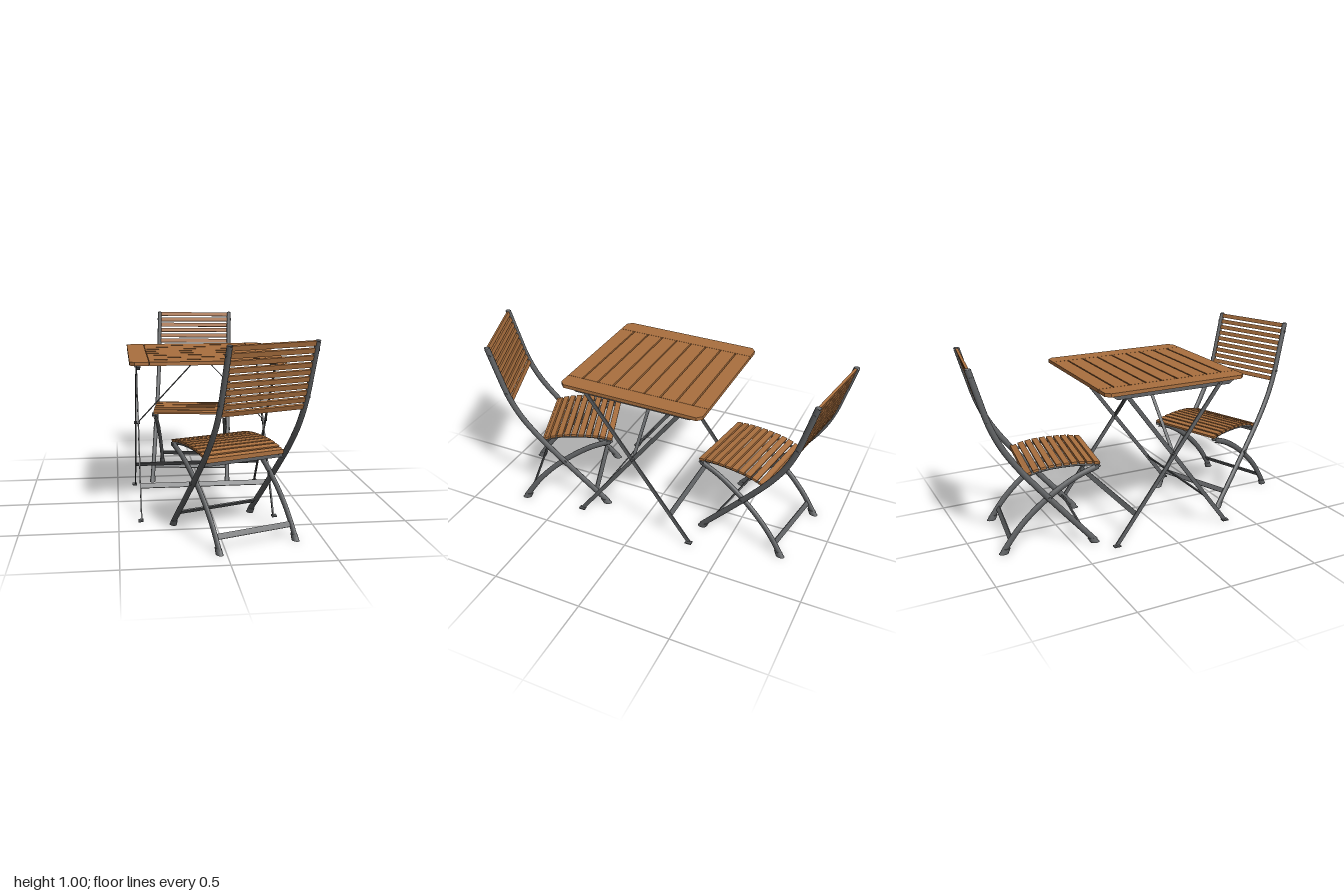
import * as THREE from 'three';

const wood = new THREE.MeshStandardMaterial({ color: 0xaa703f });
wood.name = 'oiledWood';
const metal = new THREE.MeshStandardMaterial({ color: 0x5f6163 });
metal.name = 'greyMetal';

const V = (x, y, z) => new THREE.Vector3(x, y, z);

function add(parent, name, geometry, material, x = 0, y = 0, z = 0) {
  const mesh = new THREE.Mesh(geometry, material);
  mesh.name = name;
  mesh.position.set(x, y, z);
  parent.add(mesh);
  return mesh;
}

const box = (parent, name, mat, w, h, d, x, y, z) =>
  add(parent, name, new THREE.BoxGeometry(w, h, d), mat, x, y, z);

// Flat bar between two points; "side" is the direction its first size runs in
function bar(parent, name, a, b, side, sideSize, otherSize) {
  const dir = b.clone().sub(a);
  const mesh = box(parent, name, metal, sideSize, otherSize, dir.length(), 0, 0, 0);
  dir.normalize();
  const up = dir.clone().cross(side);
  mesh.quaternion.setFromRotationMatrix(new THREE.Matrix4().makeBasis(side, up, dir));
  mesh.position.copy(a).add(b).multiplyScalar(0.5);
}

// Bolt running along x
function bolt(parent, name, x, y, z, radius, length) {
  const g = new THREE.CylinderGeometry(radius, radius, length, 10).rotateZ(Math.PI / 2);
  add(parent, name, g, metal, x, y, z);
}

// Curve in the side plane from [forward, height] pairs
const sideCurve = (pts) => new THREE.CatmullRomCurve3(pts.map(([z, y]) => V(0, y, z)));

// Parameter at which a curve of steadily changing height reaches y
function paramAtHeight(curve, y) {
  const falling = curve.getPoint(0).y > curve.getPoint(1).y;
  let lo = 0, hi = 1;
  for (let i = 0; i < 30; i++) {
    const mid = (lo + hi) / 2;
    if ((curve.getPoint(mid).y > y) === falling) lo = mid; else hi = mid;
  }
  return (lo + hi) / 2;
}

// Bent tube of oval section with a rounded top end and a flared foot
function bentLeg(parent, name, curve, x, flat, topT, footT) {
  const r = 0.016;
  const tube = add(parent, name, new THREE.TubeGeometry(curve, 28, r, 12), metal, x);
  tube.scale.x = flat;
  const top = curve.getPoint(topT);
  const cap = add(parent, name + 'Cap', new THREE.SphereGeometry(r, 12, 8), metal, x, top.y, top.z);
  cap.scale.set(flat, 0.4, 1);
  const end = curve.getPoint(footT);
  const dir = curve.getTangent(footT).multiplyScalar(footT ? -1 : 1);
  // Foot sheared along the leg, so its sole stays flat on the floor
  const foot = new THREE.CylinderGeometry(0.018, 0.021, 0.028, 12);
  foot.translate(0, 0.014, 0).scale(0.8, 1, 1.2);
  foot.applyMatrix4(new THREE.Matrix4().makeShear(0, 0, 0, dir.z / dir.y * 0.8, 0, 0));
  add(parent, name + 'Foot', foot, metal, x, 0, end.z);
}

function makeChair(name) {
  const chair = new THREE.Group();
  chair.name = name;
  const post = sideCurve([[0, 0.993], [0.04, 0.85], [0.085, 0.7], [0.14, 0.58],
    [0.22, 0.46], [0.3, 0.36], [0.455, 0.18], [0.603, 0.012]]);
  const rear = sideCurve([[0.12, 0.012], [0.2, 0.125], [0.29, 0.22], [0.4, 0.308],
    [0.52, 0.38], [0.63, 0.423]]);
  const seat = sideCurve([[0.255, 0.42], [0.3, 0.436], [0.37, 0.449], [0.46, 0.454],
    [0.56, 0.451], [0.64, 0.439]]);

  for (const s of [-1, 1]) {
    bentLeg(chair, 'backPost', post, s * 0.229, 0.8, 0, 1);
    bentLeg(chair, 'rearLeg', rear, s * 0.211, 0.7, 1, 0);
    bolt(chair, 'legPivot', s * 0.222, 0.285, 0.367, 0.01, 0.044);
    bolt(chair, 'seatPivot', s * 0.208, 0.425, 0.622, 0.011, 0.032);
    for (const y of [0.95, 0.72]) {
      const p = post.getPoint(paramAtHeight(post, y));
      bolt(chair, 'postBolt', s * 0.234, p.y, p.z, 0.007, 0.02);
    }
    // Curved rail under the slats
    const rail = add(chair, 'seatRail', new THREE.TubeGeometry(seat, 20, 0.009, 8), metal, s * 0.197, -0.014, 0);
    rail.scale.x = 0.6;
  }

  // Backrest slats
  for (let i = 0; i < 10; i++) {
    const t = paramAtHeight(post, 0.982 - i * 0.0342);
    const p = post.getPoint(t), d = post.getTangent(t);
    box(chair, 'backSlat', wood, 0.436, 0.024, 0.013, 0, p.y, p.z)
      .rotation.x = Math.atan2(-d.z, -d.y);
  }

  // Seat slats following the arched rails
  for (let i = 0; i < 10; i++) {
    const t = (i + 0.35) / 9.7;
    const p = seat.getPointAt(t), d = seat.getTangentAt(t);
    box(chair, 'seatSlat', wood, 0.43, 0.013, 0.031, 0, p.y, p.z)
      .rotation.x = Math.atan2(-d.y, d.z);
  }
  // Upright slat closing the seat at the rear
  box(chair, 'seatRearSlat', wood, 0.43, 0.022, 0.01, 0, 0.42, 0.254);

  // Cross bars
  box(chair, 'seatCrossBar', metal, 0.45, 0.022, 0.012, 0, 0.4, 0.268);
  const px = V(1, 0, 0);
  for (const [curve, y, half, label] of [[post, 0.085, 0.226, 'frontCrossBar'], [rear, 0.072, 0.208, 'rearCrossBar']]) {
    const t = paramAtHeight(curve, y);
    const p = curve.getPoint(t), d = curve.getTangent(t);
    bar(chair, label, V(-half, p.y, p.z), V(half, p.y, p.z), d.cross(px).normalize(), 0.007, 0.028);
  }
  return chair;
}

function makeTable() {
  const table = new THREE.Group();
  table.name = 'table';
  const topY = 0.852, thick = 0.019, c = 0.025, half = 0.402;

  // End boards with clipped outer corners
  for (const s of [-1, 1]) {
    const shape = new THREE.Shape([
      [0.303, -half], [0.4 - c, -half], [0.4, c - half], [0.4, half - c], [0.4 - c, half], [0.303, half],
    ].map(([x, y]) => new THREE.Vector2(s * x, y)));
    const g = new THREE.ExtrudeGeometry(shape, { depth: thick, bevelEnabled: false });
    g.rotateX(-Math.PI / 2);
    add(table, 'endBoard', g, wood, 0, topY - thick, 0);
  }
  // Slats between the end boards
  const gap = 0.008, pitch = (2 * half + gap) / 9;
  for (let i = 0; i < 9; i++) {
    box(table, 'topSlat', wood, 0.602, thick, pitch - gap, 0, topY - thick / 2, (i - 4) * pitch);
  }

  // Centre strap under the slats
  box(table, 'centreStrap', metal, 0.035, 0.008, 0.68, 0, 0.829, 0);

  const px = V(1, 0, 0);
  for (const s of [-1, 1]) {
    // Side rail with tapered ends
    const rail = new THREE.Shape([[-0.355, 0.833], [-0.355, 0.822], [-0.325, 0.803], [0.325, 0.803],
      [0.355, 0.822], [0.355, 0.833]].map(([x, y]) => new THREE.Vector2(x, y)));
    const g = new THREE.ExtrudeGeometry(rail, { depth: 0.02, bevelEnabled: false });
    g.translate(0, 0, -0.01).rotateY(Math.PI / 2);
    add(table, 'sideRail', g, metal, s * 0.355, 0, 0);

    // Crossed legs, one set outside the other
    for (const [dir, x] of [[1, 0.364], [-1, 0.35]]) {
      bar(table, 'crossedLeg', V(s * x, 0.815, dir * 0.268), V(s * x, 0.008, dir * -0.338), px, 0.007, 0.022);
      box(table, 'legFoot', metal, 0.026, 0.007, 0.036, s * (x + 0.004), 0.0085, dir * -0.338);
      bolt(table, 'topPivot', s * x, 0.817, dir * 0.268, 0.009, 0.018);
    }
    bolt(table, 'crossPivot', s * 0.357, 0.462, 0, 0.008, 0.032);

    // Slanting brace to the centre
    bar(table, 'brace', V(s * 0.35, 0.465, 0), V(s * 0.012, 0.826, 0), V(0, 0, 1), 0.018, 0.004);
  }
  // Bars joining each leg pair
  for (const [dir, reach] of [[1, 0.364], [-1, 0.35]]) {
    const leg = V(0, 0.807, dir * 0.606).normalize();
    const z = dir * -0.224;
    bar(table, 'legCrossBar', V(-reach, 0.163, z), V(reach, 0.163, z), leg.cross(px).normalize(), 0.006, 0.028);
  }
  return table;
}

export function createModel() {
  const model = new THREE.Group();
  model.name = 'gardenDiningSet';

  const table = makeTable();
  table.position.set(-0.03, 0, 0.026);

  const backChair = makeChair('backChair');
  backChair.position.set(0.03, 0, -0.95);
  backChair.rotation.y = -0.15;

  const frontChair = makeChair('frontChair');
  frontChair.position.set(0.205, 0, 0.906);
  frontChair.rotation.y = Math.PI + 0.356;

  model.add(table, backChair, frontChair);
  return model;
}
